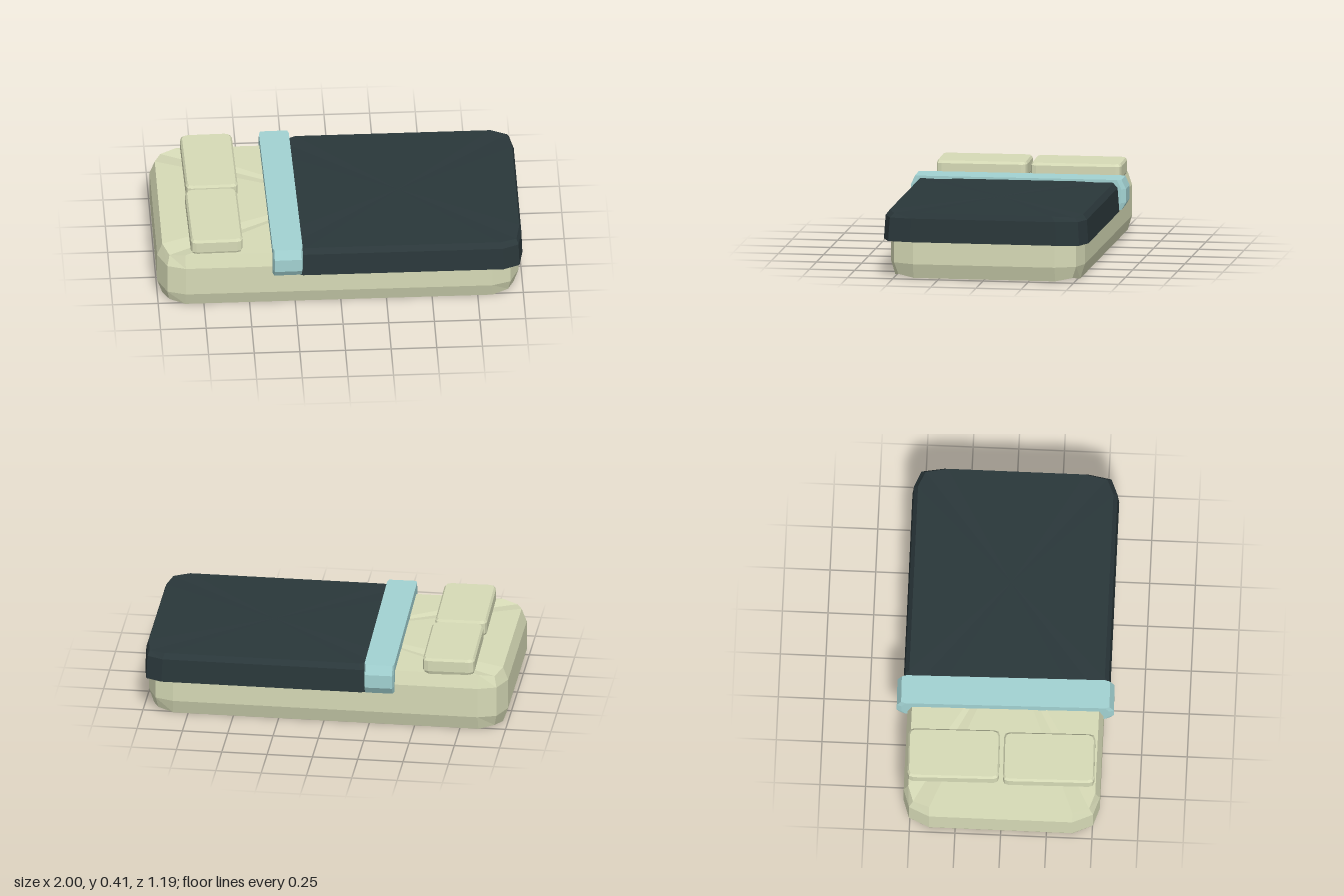
import * as THREE from 'three';

const cream = new THREE.MeshStandardMaterial({ color: 0xd6dab6, flatShading: true });
const dark = new THREE.MeshStandardMaterial({ color: 0x2a373a, flatShading: true });
const teal = new THREE.MeshStandardMaterial({ color: 0xa2d2d2, flatShading: true });

// Rectangle with three points per corner, counted round from +x towards +z.
// hx, hz: half sizes; cx, cz: where the corner cut starts; ix, iz: inset of the
// middle corner point; drop: height change of that point.
function ring({ y, hx, hz, cx, cz, ix, iz, drop = 0 }) {
  const corner = [[hx, y, hz - cz], [hx - ix, y + drop, hz - iz], [hx - cx, y, hz]];
  const points = [];
  [[1, 1], [-1, 1], [-1, -1], [1, -1]].forEach(([sx, sz], k) => {
    const c = k % 2 ? [...corner].reverse() : corner;
    for (const [x, py, z] of c) points.push(new THREE.Vector3(sx * x, py, sz * z));
  });
  return points;
}

// Solid through a stack of rings, bottom to top, closed by fans.
function loft(name, material, levels, x = 0, z = 0, turn = 0) {
  const rings = levels.map(ring);
  const n = rings[0].length;
  const last = rings.length - 1;
  const verts = [];
  const tri = (...p) => p.forEach((v) => verts.push(v.x, v.y, v.z));
  for (let r = 0; r < last; r++) {
    for (let i = 0; i < n; i++) {
      const j = (i + 1) % n;
      const [a, b, c, d] = [rings[r][i], rings[r][j], rings[r + 1][j], rings[r + 1][i]];
      tri(a, d, c);
      tri(a, c, b);
    }
  }
  const low = new THREE.Vector3(0, levels[0].y, 0);
  const high = new THREE.Vector3(0, levels[last].y, 0);
  for (let i = 0; i < n; i++) {
    const j = (i + 1) % n;
    tri(low, rings[0][i], rings[0][j]);
    tri(high, rings[last][j], rings[last][i]);
  }
  const geometry = new THREE.BufferGeometry();
  geometry.setAttribute('position', new THREE.Float32BufferAttribute(verts, 3));
  geometry.computeVertexNormals();
  const mesh = new THREE.Mesh(geometry, material);
  mesh.name = name;
  mesh.position.set(x, 0, z);
  mesh.rotation.y = turn;
  return mesh;
}

export function createModel() {
  const model = new THREE.Group();
  model.name = 'bed';

  // Mattress with bevelled rims and cut corners
  const body = { hx: 0.99, hz: 0.537, cx: 0.15, cz: 0.145, ix: 0.05, iz: 0.033 };
  const rim = { hx: 0.962, hz: 0.512, cx: 0.12, cz: 0.12, ix: 0.035, iz: 0.03 };
  model.add(loft('mattress', cream, [
    { ...rim, y: 0, drop: 0.015 },
    { ...body, y: 0.08 },
    { ...body, y: 0.25 },
    { ...rim, y: 0.323, drop: -0.015 },
  ], -0.01));

  // Blanket draped over the foot end
  const drape = { cx: 0.11, cz: 0.16, ix: 0.022, iz: 0.037 };
  model.add(loft('blanket', dark, [
    { ...drape, y: 0.205, hx: 0.66, hz: 0.566 },
    { ...drape, y: 0.335, hx: 0.655, hz: 0.557 },
    { ...drape, y: 0.364, hx: 0.645, hz: 0.535, drop: -0.005 },
  ], 0.34));

  // Folded edge of the blanket, lying slightly askew
  const fold = { hx: 0.082, cx: 0.008, cz: 0.025, ix: 0.004, iz: 0.012 };
  model.add(loft('blanketFold', teal, [
    { ...fold, y: 0.21, hz: 0.57 },
    { ...fold, y: 0.25, hz: 0.594 },
    { ...fold, y: 0.325, hz: 0.594 },
    { ...fold, y: 0.376, hz: 0.57 },
  ], -0.302, -0.003, 0.017));

  // Pair of pillows
  const soft = { hx: 0.142, hz: 0.25, cx: 0.03, cz: 0.03, ix: 0.008, iz: 0.008 };
  const seam = { ...soft, hx: 0.132, hz: 0.242 };
  for (const [name, z] of [['rightPillow', -0.27], ['leftPillow', 0.252]]) {
    model.add(loft(name, cream, [
      { ...seam, y: 0.312 },
      { ...soft, y: 0.335 },
      { ...soft, y: 0.395 },
      { ...seam, y: 0.409 },
    ], -0.682, z, 0.018));
  }
  return model;
}
